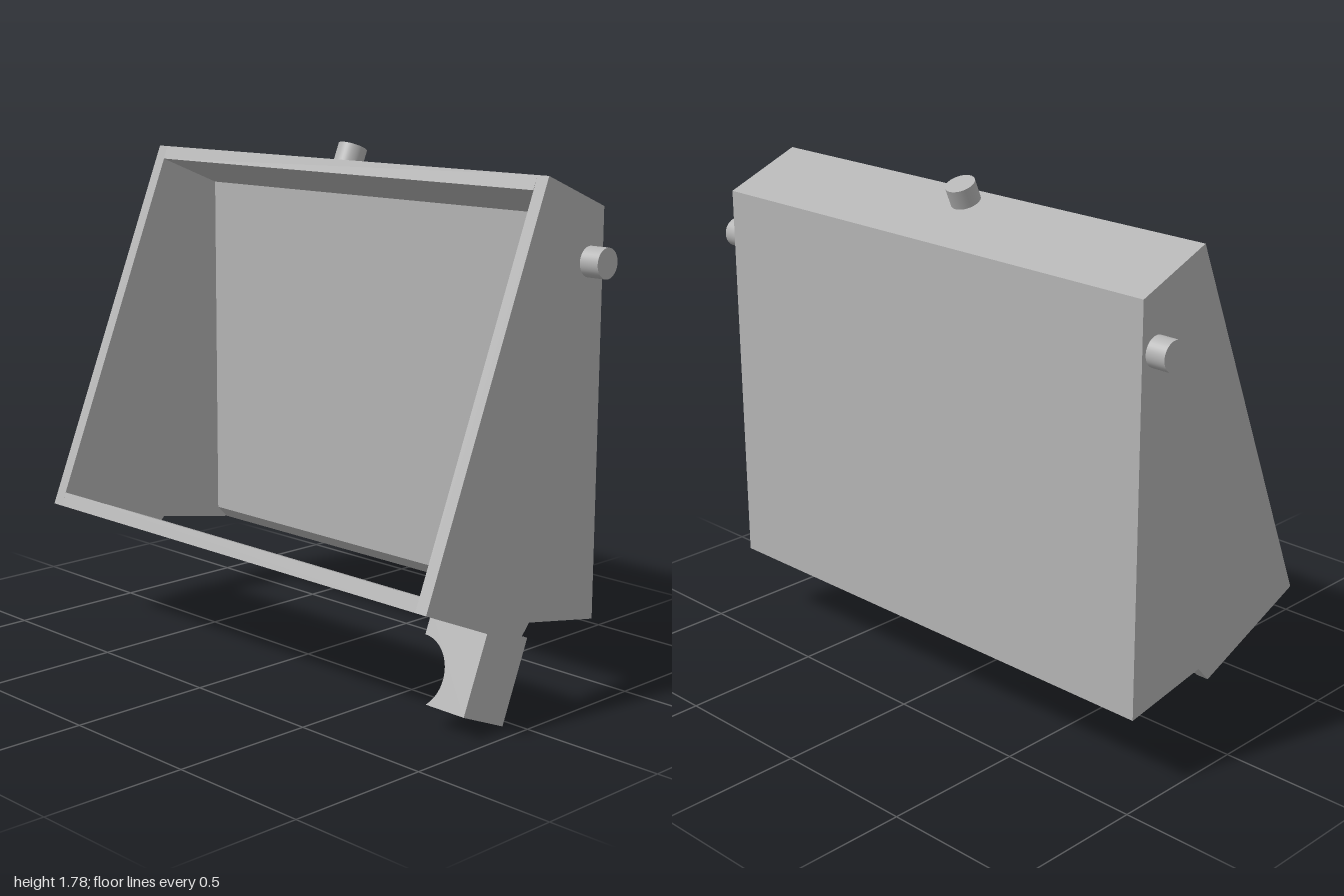
import * as THREE from 'three';

const TILT = 0.395; // slope shared by floor, top panel, leg and top peg

export function createModel() {
  const model = new THREE.Group();
  model.name = 'tiltedHousing';
  const grey = new THREE.MeshStandardMaterial({ color: 0xb4b4b4 });
  grey.name = 'plain grey';

  const add = (name, geometry, parent = model) => {
    const mesh = new THREE.Mesh(geometry, grey);
    mesh.name = name;
    parent.add(mesh);
    return mesh;
  };

  // Prism along x from a profile of [z, y] points
  const prism = (points, x0, x1) => {
    const shape = new THREE.Shape(points.map(([z, y]) => new THREE.Vector2(-z, y)));
    return new THREE.ExtrudeGeometry(shape, { depth: x1 - x0, bevelEnabled: false })
      .rotateY(Math.PI / 2).translate(x0, 0, 0);
  };

  // Side walls
  const side = [[0.4, 0.45], [-0.125, 1.73], [-0.4, 1.62], [-0.4, 0.265], [-0.08, 0.323], [-0.03, 0.267]];
  add('leftWall', prism(side, 0.885, 0.93));
  add('rightWall', prism(side, -0.93, -0.885));

  // Top panel and back wall in one bent section, chamfered at the bottom
  add('topAndBackWall', prism([
    [-0.125, 1.73], [-0.4, 1.62], [-0.4, 0.265], [-0.355, 0.31], [-0.355, 1.585], [-0.105, 1.685],
  ], -0.885, 0.885));

  // Tilted frame: origin on the lower front edge, y out of the floor, z forward
  const tilted = new THREE.Group();
  tilted.name = 'tiltedBase';
  tilted.position.set(0, 0.45, 0.4);
  tilted.rotation.x = -TILT;
  model.add(tilted);

  // Rectangle outline used for the floor and its slots
  const rect = (target, x0, y0, x1, y1) => {
    target.moveTo(x0, y0).lineTo(x1, y0).lineTo(x1, y1).lineTo(x0, y1).closePath();
    return target;
  };

  // Floor with two slots and a slanted rear edge
  const floorShape = rect(new THREE.Shape(), -0.885, 0, 0.885, 0.466);
  for (const x of [-0.75, 0.75]) {
    floorShape.holes.push(rect(new THREE.Path(), x - 0.07, 0.06, x + 0.07, 0.14));
  }
  const floor = new THREE.ExtrudeGeometry(floorShape, { depth: 0.05, bevelEnabled: false });
  const p = floor.attributes.position;
  for (let i = 0; i < p.count; i++) {
    if (p.getY(i) > 0.46 && p.getZ(i) > 0.01) p.setY(i, 0.504);
  }
  floor.rotateX(-Math.PI / 2);
  floor.computeVertexNormals();
  add('floor', floor, tilted);

  // Leg under the left corner with a round cut-out
  const legShape = new THREE.Shape();
  const r = 0.12, cx = 0.69, cy = -0.18;
  const end = Math.asin(-0.09 / r);
  legShape.moveTo(0.69, 0.02);
  legShape.lineTo(cx, cy + r);
  legShape.absarc(cx, cy, r, Math.PI / 2, end, true);
  legShape.lineTo(cx + r * Math.cos(end), -0.27);
  legShape.lineTo(0.93, -0.27);
  legShape.lineTo(0.93, 0.02);
  legShape.closePath();
  const leg = new THREE.ExtrudeGeometry(legShape, { depth: 0.2, bevelEnabled: false, curveSegments: 24 });
  add('leg', leg.translate(0, 0, -0.504), tilted);

  // Pegs on both sides and on the top panel
  for (const s of [1, -1]) {
    const peg = add(s > 0 ? 'leftPeg' : 'rightPeg', new THREE.CylinderGeometry(0.05, 0.05, 0.07, 40));
    peg.rotation.z = -s * Math.PI / 2;
    peg.position.set(s * 0.965, 1.45, -0.335);
  }
  const topPeg = add('topPeg', new THREE.CylinderGeometry(0.05, 0.05, 0.08, 40));
  topPeg.rotation.x = -TILT;
  topPeg.position.set(0, 1.731, -0.195);

  return model;
}
